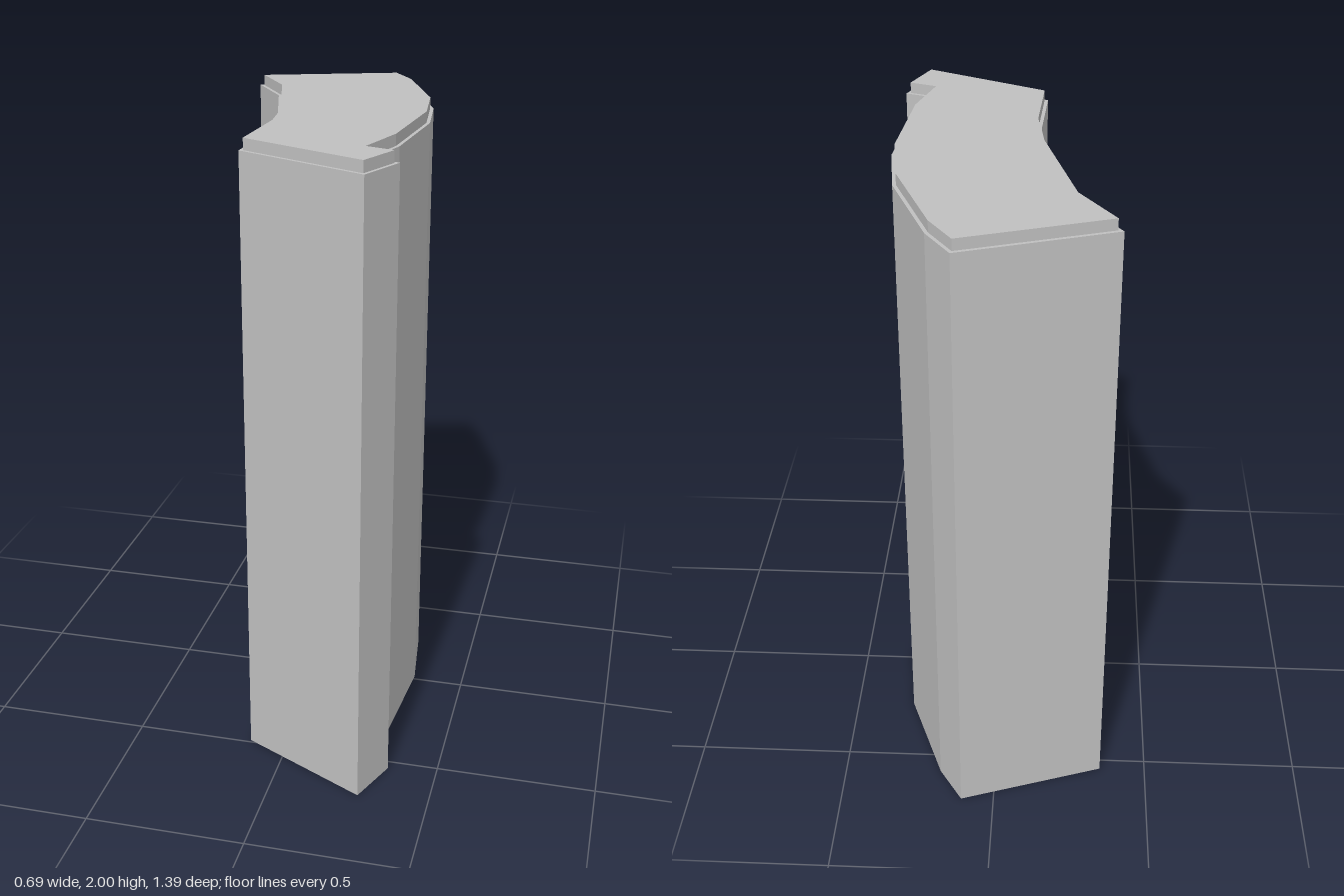
import * as THREE from 'three';

// Plan outline as [x, z], clockwise seen from above
const OUTLINE = [
  [-0.35, -0.54], [0.106, -0.698], [0.183, -0.576], [0.305, -0.25], [0.333, -0.017],
  [0.305, 0.331], [0.257, 0.502], [0.345, 0.535], [0.28, 0.695], [-0.124, 0.49],
  [-0.11, 0.222], [-0.128, 0.057], [-0.235, -0.357],
];
const LEDGE_Y = 1.965, TOP_Y = 2, INSET = 0.011;

// Moves every edge of a loop inward by d, with mitred corners
function insetLoop(loop, d) {
  const n = loop.length;
  const normal = (a, b) => {
    const dx = b[0] - a[0], dz = b[1] - a[1], l = Math.hypot(dx, dz);
    return [-dz / l, dx / l];
  };
  return loop.map((p, i) => {
    const u = normal(loop[(i + n - 1) % n], p), v = normal(p, loop[(i + 1) % n]);
    const k = d / (1 + u[0] * v[0] + u[1] * v[1]);
    return [p[0] + (u[0] + v[0]) * k, p[1] + (u[1] + v[1]) * k];
  });
}

// Upright faceted wall following a loop
function wallGeometry(loop, y0, y1) {
  const pos = [];
  loop.forEach((a, i) => {
    const b = loop[(i + 1) % loop.length];
    pos.push(b[0], y0, b[1], a[0], y0, a[1], a[0], y1, a[1]);
    pos.push(b[0], y0, b[1], a[0], y1, a[1], b[0], y1, b[1]);
  });
  const g = new THREE.BufferGeometry();
  g.setAttribute('position', new THREE.Float32BufferAttribute(pos, 3));
  g.computeVertexNormals();
  return g;
}

// Level face inside a loop, optionally with a hole
function levelGeometry(loop, y, hole) {
  const points = (l) => l.map(([x, z]) => new THREE.Vector2(x, -z));
  const shape = new THREE.Shape(points(loop));
  if (hole) shape.holes.push(new THREE.Path(points(hole)));
  return new THREE.ShapeGeometry(shape).rotateX(-Math.PI / 2).translate(0, y, 0);
}

export function createModel() {
  const group = new THREE.Group();
  group.name = 'curvedBlock';
  const grey = new THREE.MeshStandardMaterial({ color: 0xc0c0c0, side: THREE.DoubleSide });
  grey.name = 'light grey';
  const add = (name, geometry) => {
    const mesh = new THREE.Mesh(geometry, grey);
    mesh.name = name;
    group.add(mesh);
  };

  // Hollow shell, open underneath, with a small stepped top
  const inner = insetLoop(OUTLINE, INSET);
  add('bodyWall', wallGeometry(OUTLINE, 0, LEDGE_Y));
  add('ledge', levelGeometry(OUTLINE, LEDGE_Y, inner));
  add('capWall', wallGeometry(inner, LEDGE_Y, TOP_Y));
  add('capTop', levelGeometry(inner, TOP_Y));
  return group;
}
